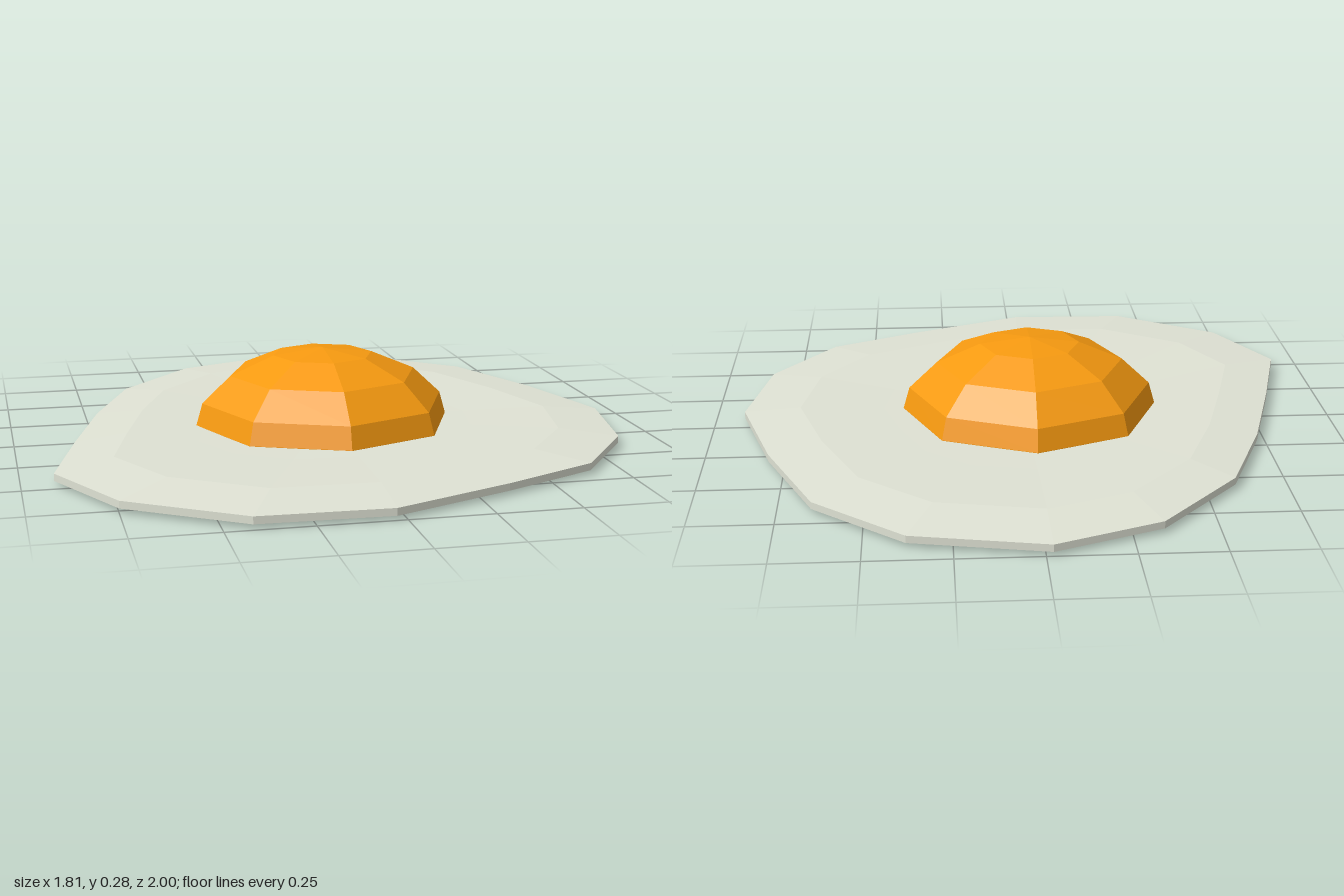
import * as THREE from 'three';

// Stack scaled copies of an outline into a closed faceted body; rings are [scale, y] from bottom to top.
function ringBody(outline, rings) {
  const pos = [];
  const at = ([s, y], i) => {
    const [x, z] = outline[i % outline.length];
    return [x * s, y, z * s];
  };
  for (let r = 0; r < rings.length - 1; r++) {
    const a = rings[r], b = rings[r + 1];
    for (let i = 0; i < outline.length; i++) {
      if (a[0] > 0) pos.push(...at(a, i + 1), ...at(a, i), ...at(b, i));
      if (b[0] > 0) pos.push(...at(a, i + 1), ...at(b, i), ...at(b, i + 1));
    }
  }
  const geo = new THREE.BufferGeometry();
  geo.setAttribute('position', new THREE.Float32BufferAttribute(pos, 3));
  geo.computeVertexNormals();
  return geo;
}

export function createModel() {
  const group = new THREE.Group();
  group.name = 'friedEgg';

  // Egg white: thin irregular slab, slightly raised just inside its rim
  const outline = [
    [-0.02, -1], [0.38, -0.92], [0.65, -0.68], [0.8, -0.32],
    [0.905, 0.05], [0.84, 0.41], [0.64, 0.69], [0.34, 0.84],
    [-0.03, 1], [-0.42, 0.99], [-0.75, 0.77], [-0.905, 0.46],
    [-0.82, 0.12], [-0.72, -0.24], [-0.59, -0.58], [-0.34, -0.87],
  ];
  const white = new THREE.Mesh(
    ringBody(outline, [[0, 0], [0.5, 0], [0.77, 0.006], [1, 0.013], [1, 0.035], [0.8, 0.05], [0.5, 0.045], [0, 0.04]]),
    new THREE.MeshStandardMaterial({ color: 0xdfe2d4, flatShading: true })
  );
  white.name = 'eggWhite';
  group.add(white);

  // Yolk: eight-sided faceted dome
  const profile = [[0, 0.03], [0.41, 0.03], [0.41, 0.045], [0.39, 0.115], [0.3, 0.2], [0.16, 0.26], [0, 0.28]]
    .map(([r, y]) => new THREE.Vector2(r, y));
  const yolk = new THREE.Mesh(
    new THREE.LatheGeometry(profile, 8),
    new THREE.MeshStandardMaterial({ color: 0xf79a10, flatShading: true })
  );
  yolk.name = 'yolk';
  yolk.position.set(-0.02, 0, 0.03);
  group.add(yolk);

  return group;
}
